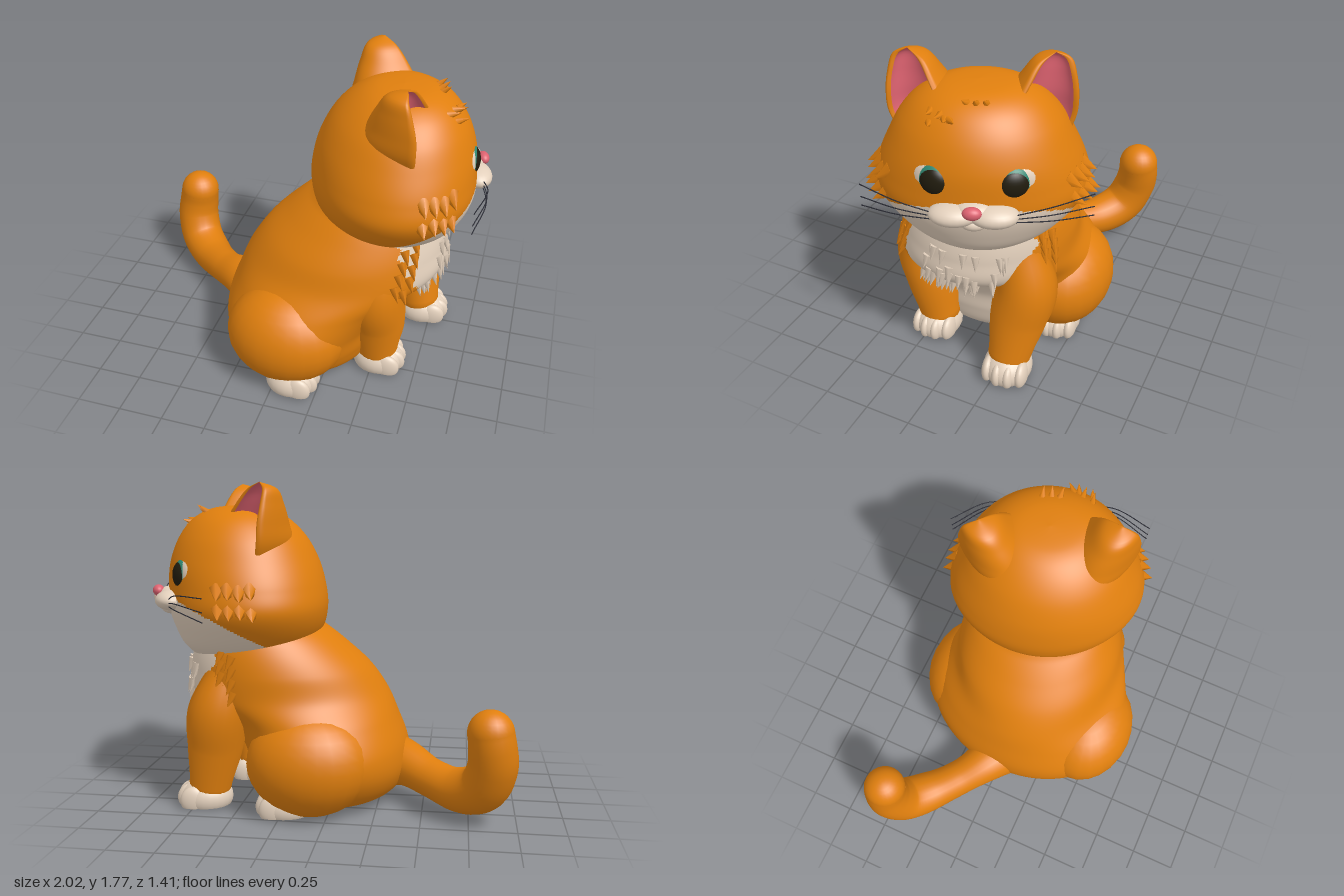
import * as THREE from 'three';
import { mergeVertices } from 'three/addons/utils/BufferGeometryUtils.js';

const V = (x, y, z) => new THREE.Vector3(x, y, z);
const mat = (name, color, side = THREE.DoubleSide) => new THREE.MeshStandardMaterial({ name, color, side });

// Smooth interpolation of rows of numbers; t runs from 0 to rows.length - 1
function sample(rows, t) {
  const n = rows.length, i = Math.min(Math.floor(t), n - 2), f = t - i;
  return rows[i].map((b, k) => {
    const a = rows[Math.max(i - 1, 0)][k], c = rows[i + 1][k], d = rows[Math.min(i + 2, n - 1)][k];
    return b + 0.5 * f * (c - a + f * (2 * a - 5 * b + 4 * c - d + f * (3 * (b - c) + d - a)));
  });
}

// Welded surface grid from a function of u, v in 0..1
function grid(fn, nu, nv) {
  const pos = [], idx = [];
  for (let j = 0; j <= nv; j++) for (let i = 0; i <= nu; i++) pos.push(...fn(i / nu, j / nv).toArray());
  for (let j = 0; j < nv; j++) for (let i = 0; i < nu; i++) {
    const a = j * (nu + 1) + i, c = a + nu + 1;
    idx.push(a, c, a + 1, a + 1, c, c + 1);
  }
  let g = new THREE.BufferGeometry();
  g.setAttribute('position', new THREE.Float32BufferAttribute(pos, 3));
  g.setIndex(idx);
  g = mergeVertices(g, 1e-5);
  g.computeVertexNormals();
  return g;
}

// Point on a stack of ellipses; ring = [y, centreX, radiusX, centreZ, radiusZ, yaw]
function ringPoint(rings, t, a) {
  const [y, cx, rx, cz, rz, yaw] = sample(rings, t);
  const dx = rx * Math.cos(a), dz = rz * Math.sin(a), c = Math.cos(yaw), s = Math.sin(yaw);
  return V(cx + dx * c + dz * s, y, cz - dx * s + dz * c);
}
const loft = (rings, nu, nv) => grid((u, v) => ringPoint(rings, v * (rings.length - 1), (u % 1) * Math.PI * 2), nu, nv);

// Sort the triangles into two material groups by a test on their centres
function split(g, test) {
  const p = g.attributes.position, sets = [[], []], q = g.index.array;
  for (let i = 0; i < q.length; i += 3) {
    const c = V(0, 0, 0);
    for (let k = 0; k < 3; k++) c.add(V().fromBufferAttribute(p, q[i + k]));
    sets[test(c.divideScalar(3)) ? 1 : 0].push(q[i], q[i + 1], q[i + 2]);
  }
  g.setIndex([...sets[0], ...sets[1]]);
  g.addGroup(0, sets[0].length, 0);
  g.addGroup(sets[0].length, sets[1].length, 1);
  return g;
}

function add(parent, name, geo, material, x = 0, y = 0, z = 0) {
  const m = new THREE.Mesh(geo, material);
  m.name = name;
  m.position.set(x, y, z);
  parent.add(m);
  return m;
}
const ball = (rx, ry, rz) => new THREE.SphereGeometry(1, 24, 16).scale(rx, ry, rz);

// Rounded limb along a curve with changing radius
function limb(parent, name, pts, radii, material) {
  const g = new THREE.Group(), curve = new THREE.CatmullRomCurve3(pts.map(p => V(...p))), n = 40, m = 24;
  g.name = name;
  const tube = new THREE.TubeGeometry(curve, n, 1, m), p = tube.attributes.position;
  for (let i = 0; i < p.count; i++) {
    const u = Math.floor(i / (m + 1)) / n, c = curve.getPointAt(u);
    const r = sample(radii.map(x => [x]), u * (radii.length - 1))[0];
    const v = V().fromBufferAttribute(p, i).sub(c).multiplyScalar(r).add(c);
    p.setXYZ(i, v.x, v.y, v.z);
  }
  add(g, name + 'Shaft', tube, material);
  [[0, radii[0]], [pts.length - 1, radii[radii.length - 1]]].forEach(([i, r]) =>
    add(g, name + 'End', ball(r, r, r), material, ...pts[i]));
  parent.add(g);
}

// Pointed lock of fur
function tuft(parent, name, pos, dir, len, r, material) {
  const m = add(parent, name, new THREE.ConeGeometry(r, len, 6).translate(0, len * 0.25, 0), material, pos.x, pos.y, pos.z);
  m.quaternion.setFromUnitVectors(V(0, 1, 0), dir.normalize());
}

export function createModel() {
  const cat = new THREE.Group();
  cat.name = 'cat';
  const orange = mat('orange fur', 0xe07f0e), cream = mat('cream fur', 0xe3d0bc), pink = mat('pink skin', 0xdd6270);
  const brown = mat('pad brown', 0x4a2a2a), teal = mat('iris teal', 0x2f8772), dark = mat('pupil dark', 0x211c0e);
  const slate = mat('whisker slate', 0x2c2d36);
  let seed = 7;
  const rnd = () => (seed = (seed * 16807) % 2147483647) / 2147483647;

  // Body with cream chest and belly
  const body = [
    [0.012, 0.1, 0.0, 0.02, 0.0, 0], [0.015, 0.1, 0.28, 0.02, 0.3, 0], [0.06, 0.07, 0.40, 0.03, 0.48, 0],
    [0.18, 0.05, 0.455, 0.03, 0.59, 0], [0.32, 0.06, 0.465, 0.03, 0.625, 0.02], [0.48, 0.14, 0.49, 0.02, 0.57, 0.08],
    [0.62, 0.265, 0.555, 0, 0.5, 0.14], [0.76, 0.315, 0.51, -0.02, 0.47, 0.18], [0.88, 0.365, 0.435, -0.04, 0.425, 0.2],
    [0.97, 0.40, 0.36, -0.05, 0.375, 0.2], [1.05, 0.44, 0.28, -0.05, 0.30, 0.2], [1.1, 0.44, 0, -0.05, 0, 0.2]];
  const chestWidth = y => THREE.MathUtils.lerp(0.17, 0.36, THREE.MathUtils.smoothstep(y, 0.3, 0.75));
  add(cat, 'body', split(loft(body, 150, 120), c => c.y < 0.3
    ? Math.hypot(Math.min(c.x - 0.25, 0) / 0.35, (c.z + 0.04) / 0.17) < 1
    : c.x > 0.45 && Math.abs(c.z + 0.05) < chestWidth(c.y) + 0.012 * Math.sin(c.y * 70)), [orange, cream]);

  // Haunches, mostly sunk into the body
  add(cat, 'leftHaunch', ball(0.34, 0.29, 0.27), orange, 0.04, 0.29, 0.435);
  add(cat, 'rightHaunch', ball(0.34, 0.29, 0.27), orange, 0.1, 0.29, -0.38);

  // Front legs
  limb(cat, 'leftFrontLeg', [[0.5, 0.74, 0.24], [0.5, 0.55, 0.29], [0.52, 0.35, 0.25], [0.52, 0.13, 0.22]], [0.12, 0.165, 0.15, 0.118], orange);
  limb(cat, 'rightFrontLeg', [[0.56, 0.74, -0.31], [0.6, 0.55, -0.36], [0.63, 0.35, -0.33], [0.67, 0.13, -0.3]], [0.12, 0.165, 0.15, 0.118], orange);

  // Tail
  limb(cat, 'tail', [[-0.25, 0.22, 0.02], [-0.4, 0.21, -0.06], [-0.55, 0.165, -0.17], [-0.7, 0.15, -0.3],
    [-0.82, 0.21, -0.41], [-0.865, 0.34, -0.47], [-0.86, 0.45, -0.49], [-0.85, 0.52, -0.49]],
    [0.18, 0.135, 0.11, 0.11, 0.125, 0.13, 0.128, 0.12], orange);

  // Paws with four toes and a flat dark pad
  const flat = g => {
    const p = g.attributes.position;
    for (let i = 0; i < p.count; i++) p.setY(i, Math.max(p.getY(i), -0.04));
    return g;
  };
  [['leftFrontPaw', 0.53, 0.22, 0.05], ['rightFrontPaw', 0.695, -0.3, 0.15],
    ['leftHindPaw', 0.1, 0.54, 0], ['rightHindPaw', 0.23, -0.395, 0.1]].forEach(([name, x, z, yaw]) => {
    const paw = new THREE.Group();
    paw.name = name;
    paw.position.set(x, 0.05, z);
    paw.rotation.y = yaw;
    add(paw, 'foot', flat(ball(0.148, 0.11, 0.132)), cream);
    for (let i = 0; i < 4; i++) {
      const s = i - 1.5;
      add(paw, 'toe', flat(ball(0.075, 0.078, 0.036)), cream, 0.085 - 0.012 * s * s, 0, s * 0.06);
    }
    add(paw, 'pad', new THREE.CylinderGeometry(1, 1, 0.008, 28).scale(0.105, 1, 0.09), brown, 0.01, -0.043, 0);
    cat.add(paw);
  });

  // Head with cream chin; its own front is +x, turned a little to the right
  const head = new THREE.Group();
  head.name = 'head';
  head.position.set(0.48, 0, -0.06);
  head.rotation.y = 0.37;
  cat.add(head);
  const skull = [[0.79, 0.06, 0, 0, 0, 0], [0.81, 0.05, 0.21, 0, 0.22, 0], [0.88, 0.02, 0.345, 0, 0.37, 0],
    [0.98, 0.01, 0.41, 0, 0.475, 0], [1.1, 0.015, 0.44, 0, 0.54, 0], [1.22, 0.02, 0.435, 0, 0.52, 0],
    [1.35, 0.03, 0.41, 0, 0.465, 0], [1.48, 0.04, 0.35, 0, 0.395, 0], [1.58, 0.05, 0.26, 0, 0.3, 0],
    [1.635, 0.05, 0.15, 0, 0.18, 0], [1.65, 0.05, 0, 0, 0, 0]];
  add(head, 'skull', split(loft(skull, 160, 130), c => c.x > -0.06 && c.y < 0.93 + 0.53 * c.x), [orange, cream]);

  // Muzzle, lip and nose
  for (const s of [-1, 1]) add(head, 'muzzle', ball(0.085, 0.055, 0.12), cream, 0.45, 1.145, s * 0.095);
  add(head, 'lowerLip', ball(0.06, 0.04, 0.07), cream, 0.44, 1.1, 0);
  add(head, 'noseBridge', ball(0.075, 0.04, 0.09), cream, 0.435, 1.175, 0);
  add(head, 'nose', ball(0.032, 0.032, 0.046), pink, 0.51, 1.19, 0);

  // Ear sections: [height, sway, half width, depth, lean]
  const earRows = [[-0.06, -0.03, 0.13, 0.2, 0], [0.06, -0.01, 0.165, 0.3, 0.01], [0.17, 0, 0.165, 0.27, 0.01],
    [0.27, 0.03, 0.13, 0.2, -0.01], [0.35, 0.055, 0.085, 0.12, -0.035], [0.385, 0.065, 0, 0, -0.05]];
  const earPoint = (v, side, depth) => {
    const [y, sway, w, d, lean] = sample(earRows, v * 5);
    return V(lean - depth * d, y, sway + side * w);
  };
  const rim = v => 0.82 - 0.4 * v ** 4;
  const earBack = grid((u, v) => {
    const e = 2 * u - 1, a = e * Math.PI / 1.76, k = Math.max(0, (Math.abs(e) - 0.88) / 0.12);
    return k > 0 ? earPoint(v, Math.sign(e) * THREE.MathUtils.lerp(1, rim(v), k), -0.06 * Math.sin(k * Math.PI))
      : earPoint(v, Math.sin(a), Math.cos(a));
  }, 50, 30);
  const earHollow = grid((u, v) => {
    const a = (u - 0.5) * Math.PI;
    return earPoint(v, Math.sin(a) * rim(v), 0.4 * Math.cos(a));
  }, 24, 24);

  // Parts mirrored on the two sides of the head
  for (const s of [1, -1]) {
    const half = new THREE.Group();
    half.name = s > 0 ? 'leftFaceSide' : 'rightFaceSide';
    half.scale.z = s;
    head.add(half);

    const ear = new THREE.Group();
    ear.name = 'ear';
    ear.position.set(0.07, 1.385, 0.315);
    ear.rotation.y = -0.45;
    add(ear, 'earShell', earBack, orange);
    add(ear, 'earInner', earHollow, pink);
    half.add(ear);

    const eye = new THREE.Group();
    eye.name = 'eye';
    eye.position.set(0.37, 1.285, 0.196);
    eye.rotation.y = -0.3;
    add(eye, 'eyeWhite', ball(0.045, 0.092, 0.104), cream);
    add(eye, 'iris', ball(0.045, 0.088, 0.088), teal, 0.009, 0, -0.014);
    add(eye, 'pupil', ball(0.045, 0.076, 0.076), dark, 0.018, 0, -0.018);
    half.add(eye);

    // Whiskers
    [[1.15, 1.2], [1.135, 1.13], [1.12, 1.08]].forEach(([y0, y1]) => add(half, 'whisker', new THREE.TubeGeometry(
      new THREE.CatmullRomCurve3([V(0.47, y0, 0.16), V(0.44, (y0 + y1) / 2 + 0.02, 0.36), V(0.32, y1, 0.56)]), 16, 0.003, 5), slate));

    // Cheek tufts in two ragged rows
    for (let i = 0; i < 8; i++) {
      const p = ringPoint(skull, 4 + (i % 2) * 0.85 + rnd() * 0.2, 1.05 + Math.floor(i / 2) * 0.13);
      tuft(half, 'cheekTuft', p.multiply(V(0.98, 1, 0.98)), V(p.x * 0.4, -0.25, p.z), 0.1, 0.045, orange);
    }
  }

  // Forehead tufts: one lock above the left eye, one on the crown
  for (let i = 0; i < 8; i++) {
    const p = ringPoint(skull, i < 5 ? 7.4 + rnd() * 0.5 : 8.6, i < 5 ? 0.35 + i * 0.1 : (i - 6) * 0.2);
    tuft(head, 'foreheadTuft', p, V(0.8, i < 5 ? 0.2 : 0.7, (rnd() - 0.5) * 0.9), 0.07, 0.022, orange);
  }

  // Chest tufts, and orange ones along the edges of the bib
  for (let i = 0; i < 42; i++) {
    const t = 5.1 + rnd() * 2.3, a = (rnd() - 0.5) * 1.0, p = ringPoint(body, t, a);
    tuft(cat, 'chestTuft', p, V(0.35, -1, (p.z + 0.08) * 1.2), 0.085, 0.025, cream);
  }
  for (const s of [-1, 1]) for (let i = 0; i < 9; i++) {
    const p = ringPoint(body, 6 + i * 0.24, s * (0.9 + 0.14 * (i % 2)));
    tuft(cat, 'shoulderTuft', p, V(0.4, -0.9, s * 0.4), 0.09, 0.03, orange);
  }
  return cat;
}
